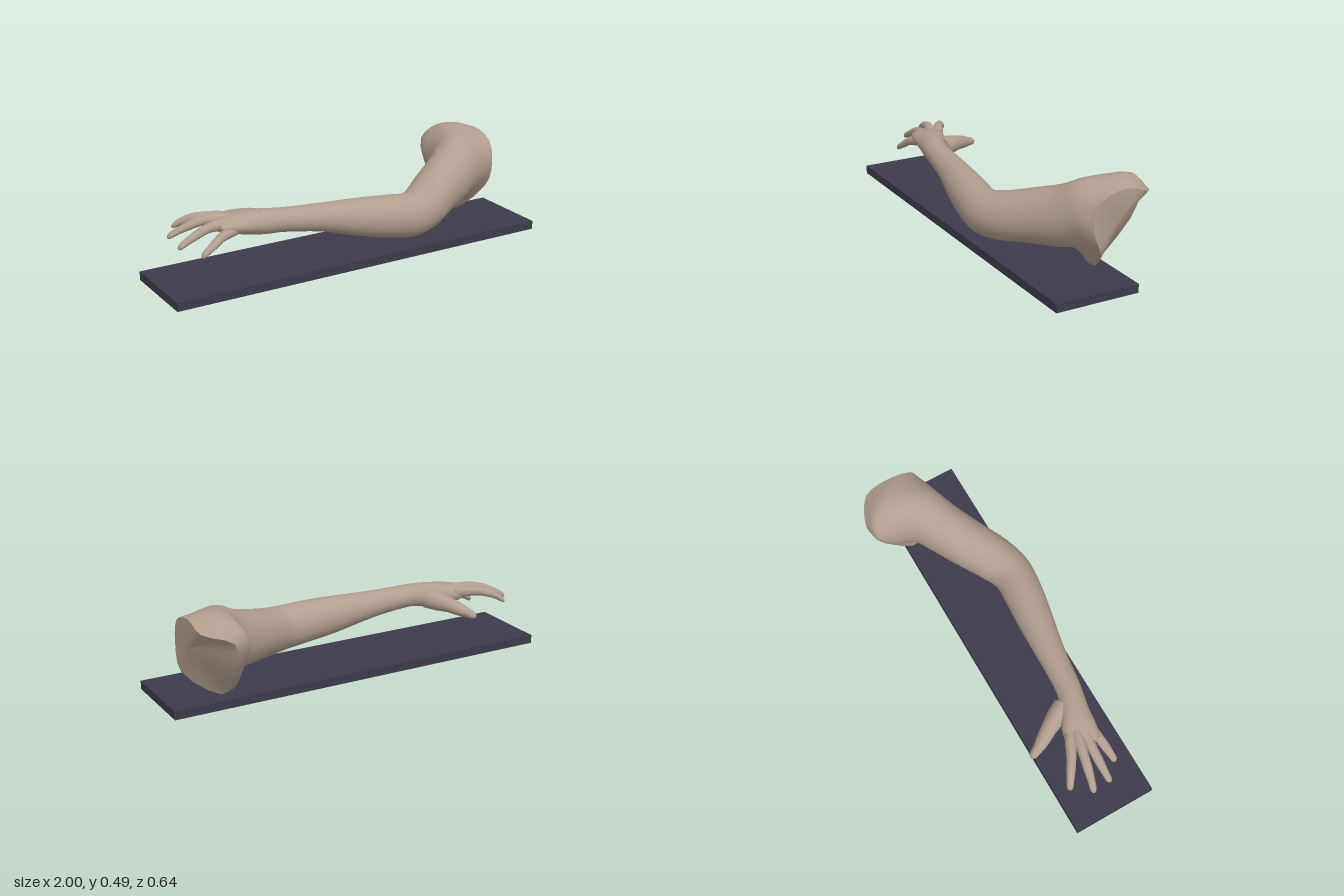
import * as THREE from 'three';
import { toCreasedNormals } from 'three/addons/utils/BufferGeometryUtils.js';

const SIDES = 24;
const V = (p) => new THREE.Vector3(...p);

// Upright elliptical ring around a centre, turned by yaw about the y axis
function ellipse([x, y, z, yawDeg, rh, rv]) {
  const yaw = THREE.MathUtils.degToRad(yawDeg);
  return Array.from({ length: SIDES }, (_, j) => {
    const a = (j / SIDES) * Math.PI * 2;
    const h = Math.cos(a) * rh;
    return new THREE.Vector3(x + Math.sin(yaw) * h, y + Math.sin(a) * rv, z + Math.cos(yaw) * h);
  });
}

// Free ring through a few points: outer side, top, inner side, bottom
function freeRing(points) {
  const curve = new THREE.CatmullRomCurve3(points.map(V), true);
  return Array.from({ length: SIDES }, (_, j) => curve.getPoint(j / SIDES));
}

// Smooth skin through the rings, closed with a fan at both ends
function loft(rings, startTip, endTip, steps) {
  const rows = (rings.length - 1) * steps;
  const curves = Array.from({ length: SIDES }, (_, j) => new THREE.CatmullRomCurve3(rings.map((r) => r[j])));
  const pos = [];
  const index = [];
  for (let i = 0; i <= rows; i++) {
    for (const c of curves) pos.push(...c.getPoint(i / rows).toArray());
  }
  const start = pos.length / 3;
  pos.push(...startTip, ...endTip);
  for (let j = 0; j < SIDES; j++) {
    const k = (j + 1) % SIDES;
    for (let i = 0; i < rows; i++) {
      const a = i * SIDES + j, b = a + SIDES, c = i * SIDES + k, d = c + SIDES;
      index.push(a, b, c, b, d, c);
    }
    index.push(start, j, k, start + 1, rows * SIDES + k, rows * SIDES + j);
  }
  const g = new THREE.BufferGeometry();
  g.setAttribute('position', new THREE.Float32BufferAttribute(pos, 3));
  g.setIndex(index);
  return toCreasedNormals(g, 0.9);
}

// Tapered digit with a rounded tip, running from tip to base
function digit(points, rTip, rBase) {
  const curve = new THREE.CatmullRomCurve3(points.map(V));
  const ts = [0, 0.03, 0.08, 0.25, 0.45, 0.65, 0.85, 1];
  const round = [0.35, 0.75, 1, 1, 1.08, 1, 1.08, 1];
  const rings = ts.map((t, i) => {
    const p = curve.getPoint(t);
    const d = curve.getTangent(t);
    const r = THREE.MathUtils.lerp(rTip, rBase, t) * round[i];
    const yaw = THREE.MathUtils.radToDeg(Math.atan2(-d.z, d.x));
    return ellipse([p.x, p.y, p.z, yaw, r, r]);
  });
  return loft(rings, points[0], points[points.length - 1], 2);
}

export function createModel() {
  const skin = new THREE.MeshStandardMaterial({ color: 0xb09e90 });
  skin.name = 'skin';
  const slate = new THREE.MeshStandardMaterial({ color: 0x3d3b4a });
  slate.name = 'slate';

  const model = new THREE.Group();
  model.name = 'armOnBase';
  const add = (name, geometry, material) => {
    const mesh = new THREE.Mesh(geometry, material);
    mesh.name = name;
    model.add(mesh);
    return mesh;
  };

  // Base plate
  add('basePlate', new THREE.BoxGeometry(2, 0.043, 0.422), slate).position.set(0, 0.0215, 0.064);

  // Palm, forearm, elbow and upper arm: x, y, z, yaw, half width, half height
  const rings = [
    [-0.70, 0.283, 0.07, 0, 0.07, 0.024],
    [-0.65, 0.283, 0.073, 4, 0.085, 0.04],
    [-0.57, 0.28, 0.085, 10, 0.086, 0.056],
    [-0.49, 0.278, 0.112, 10, 0.075, 0.061],
    [-0.42, 0.278, 0.135, 4, 0.064, 0.058],
    [-0.32, 0.27, 0.148, -5, 0.064, 0.061],
    [-0.20, 0.258, 0.161, -6, 0.072, 0.069],
    [0, 0.23, 0.19, -6, 0.09, 0.094],
    [0.15, 0.212, 0.212, 0, 0.099, 0.106],
    [0.27, 0.2, 0.218, 12, 0.104, 0.111],
    [0.37, 0.21, 0.18, 28, 0.114, 0.118],
    [0.50, 0.24, 0.10, 32, 0.12, 0.131],
    [0.62, 0.268, 0.03, 32, 0.125, 0.147],
    [0.71, 0.30, -0.025, 32, 0.135, 0.165],
  ].map(ellipse);

  // Shoulder with the armpit flap, then the cut edge
  rings.push(freeRing([
    [0.865, 0.30, 0.062], [0.87, 0.42, 0.01], [0.83, 0.487, -0.14], [0.76, 0.47, -0.25],
    [0.69, 0.39, -0.30], [0.69, 0.24, -0.24], [0.705, 0.055, -0.075], [0.82, 0.15, 0.0],
  ]));
  rings.push(freeRing([
    [0.91, 0.30, 0.035], [0.91, 0.42, 0.005], [0.91, 0.462, -0.13], [0.9, 0.425, -0.25],
    [0.77, 0.38, -0.32], [0.75, 0.24, -0.265], [0.74, 0.05, -0.085], [0.905, 0.17, -0.01],
  ]));
  add('arm', loft(rings, [-0.715, 0.283, 0.07], [0.91, 0.32, -0.1], 4), skin);

  // Fingers and thumb: tip, joints, base
  const digits = {
    indexFinger: [[-0.845, 0.25, -0.11], [-0.79, 0.285, -0.075], [-0.72, 0.30, -0.03], [-0.62, 0.295, 0.025]],
    middleFinger: [[-0.91, 0.24, -0.015], [-0.84, 0.275, 0.003], [-0.74, 0.305, 0.025], [-0.62, 0.30, 0.055]],
    ringFinger: [[-0.90, 0.215, 0.083], [-0.83, 0.25, 0.08], [-0.74, 0.285, 0.08], [-0.62, 0.29, 0.09]],
    littleFinger: [[-0.82, 0.185, 0.163], [-0.77, 0.215, 0.155], [-0.70, 0.255, 0.14], [-0.61, 0.275, 0.12]],
  };
  for (const [name, points] of Object.entries(digits)) add(name, digit(points, 0.015, 0.028), skin);
  add('thumb', digit([[-0.615, 0.225, -0.185], [-0.585, 0.24, -0.12], [-0.54, 0.26, -0.045], [-0.48, 0.272, 0.07]], 0.017, 0.05), skin);

  return model;
}
